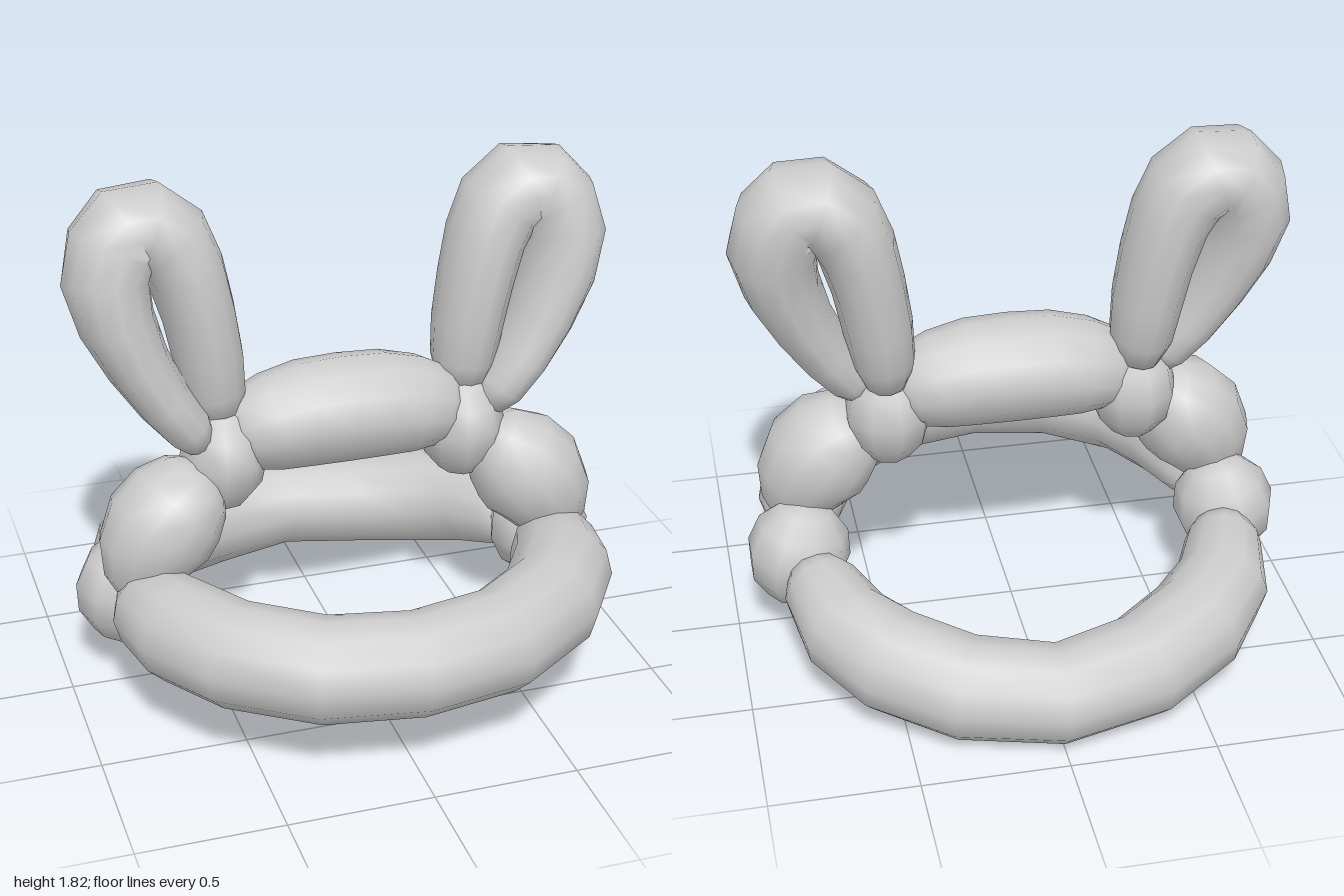
import * as THREE from 'three';

const SIDES = 12;
const material = new THREE.MeshStandardMaterial({ color: 0xcccccc });

// Balloon swept through rings [x, y, z, radius across, radius along "up"], with pointed ends.
function balloon(name, rings, up) {
  const centres = rings.map(r => new THREE.Vector3(r[0], r[1], r[2]));
  const pos = [], index = [], last = rings.length - 1;
  rings.forEach((ring, j) => {
    const t = centres[Math.min(j + 1, last)].clone().sub(centres[Math.max(j - 1, 0)]).normalize();
    const side = t.clone().cross(up).normalize();
    const top = side.clone().cross(t);
    const ra = ring[3], rb = ring[4] ?? ra;
    for (let i = 0; i < SIDES; i++) {
      const a = i / SIDES * Math.PI * 2;
      const p = centres[j].clone().addScaledVector(side, ra * Math.cos(a)).addScaledVector(top, rb * Math.sin(a));
      pos.push(p.x, p.y, p.z);
    }
  });
  for (let j = 0; j < last; j++) {
    for (let i = 0; i < SIDES; i++) {
      const n = (i + 1) % SIDES;
      const a = j * SIDES + i, b = j * SIDES + n, c = a + SIDES, d = b + SIDES;
      index.push(a, c, b, b, c, d);
    }
  }
  // End caps
  const first = pos.length / 3;
  pos.push(...centres[0].toArray(), ...centres[last].toArray());
  for (let i = 0; i < SIDES; i++) {
    const n = (i + 1) % SIDES;
    index.push(first, i, n, first + 1, last * SIDES + n, last * SIDES + i);
  }
  const geo = new THREE.BufferGeometry();
  geo.setAttribute('position', new THREE.Float32BufferAttribute(pos, 3));
  geo.setIndex(index);
  geo.computeVertexNormals();
  const mesh = new THREE.Mesh(geo, material);
  mesh.name = name;
  return mesh;
}

function knot(name, centre, scale, tilt) {
  const mesh = new THREE.Mesh(new THREE.SphereGeometry(1, 9, 6), material);
  mesh.position.set(...centre);
  mesh.scale.set(...scale);
  mesh.rotation.z = tilt;
  mesh.name = name;
  return mesh;
}

// Mirror a ring list across x, or extend a half list (starting at x = 0) to both sides
const flip = rings => rings.map(([x, ...rest]) => [-x, ...rest]);
const bothSides = half => [...flip(half.slice(1)).reverse(), ...half];

export function createModel() {
  const group = new THREE.Group();
  const Y = new THREE.Vector3(0, 1, 0), Z = new THREE.Vector3(0, 0, 1);

  // Head band: level front arc and a back arc sloping down
  group.add(balloon('frontBand', bothSides([
    [0, 0.405, 0.815, 0.175], [0.3, 0.405, 0.76, 0.178], [0.55, 0.405, 0.585, 0.18],
    [0.68, 0.4, 0.38, 0.18], [0.735, 0.385, 0.19, 0.155], [0.75, 0.37, 0.1, 0.11],
  ]), Y));
  group.add(balloon('backBand', bothSides([
    [0, 0.175, -0.83, 0.17], [0.3, 0.185, -0.75, 0.178], [0.525, 0.225, -0.61, 0.18],
    [0.66, 0.265, -0.45, 0.165], [0.72, 0.305, -0.26, 0.135], [0.74, 0.32, -0.17, 0.09],
  ]), Y));

  // Balloon across the top of the head
  group.add(balloon('topBalloon', bothSides([
    [0, 0.96, 0, 0.19], [0.14, 0.957, 0, 0.187], [0.26, 0.94, 0, 0.172],
    [0.35, 0.92, 0, 0.145], [0.41, 0.9, 0, 0.09],
  ]), Y));

  // Cheek balloon: ear knot down to side knot
  const cheek = [
    [0.49, 0.79, 0.03, 0.08], [0.545, 0.755, 0.045, 0.15], [0.615, 0.705, 0.065, 0.19],
    [0.68, 0.635, 0.075, 0.2], [0.73, 0.55, 0.08, 0.175], [0.755, 0.46, 0.085, 0.13],
    [0.765, 0.39, 0.09, 0.07],
  ];

  // Ear: one balloon bent into a narrow loop
  const ear = [
    [0.52, 0.92, 0.03, 0.06, 0.08], [0.56, 0.98, 0.03, 0.085, 0.13], [0.635, 1.08, 0.02, 0.095, 0.15],
    [0.715, 1.22, 0.005, 0.11, 0.165], [0.777, 1.37, -0.015, 0.13, 0.18], [0.805, 1.51, -0.04, 0.147, 0.185],
    [0.775, 1.62, -0.06, 0.15, 0.18], [0.725, 1.675, -0.07, 0.15, 0.175], [0.66, 1.68, -0.075, 0.15, 0.175],
    [0.58, 1.62, -0.07, 0.145, 0.175], [0.53, 1.51, -0.06, 0.133, 0.18], [0.493, 1.36, -0.05, 0.125, 0.175],
    [0.465, 1.2, -0.045, 0.12, 0.16], [0.45, 1.07, -0.04, 0.11, 0.14], [0.44, 0.98, -0.03, 0.08, 0.1],
  ];

  for (const [label, s] of [['left', 1], ['right', -1]]) {
    const turn = rings => (s > 0 ? rings : flip(rings));
    group.add(balloon(label + 'Cheek', turn(cheek), Z));
    group.add(balloon(label + 'Ear', turn(ear), Z));
    group.add(knot(label + 'EarKnot', [0.435 * s, 0.84, 0], [0.155, 0.195, 0.17], 0));
    group.add(knot(label + 'SideKnot', [0.775 * s, 0.34, -0.065], [0.185, 0.2, 0.18], 0.2 * s));
  }
  return group;
}
